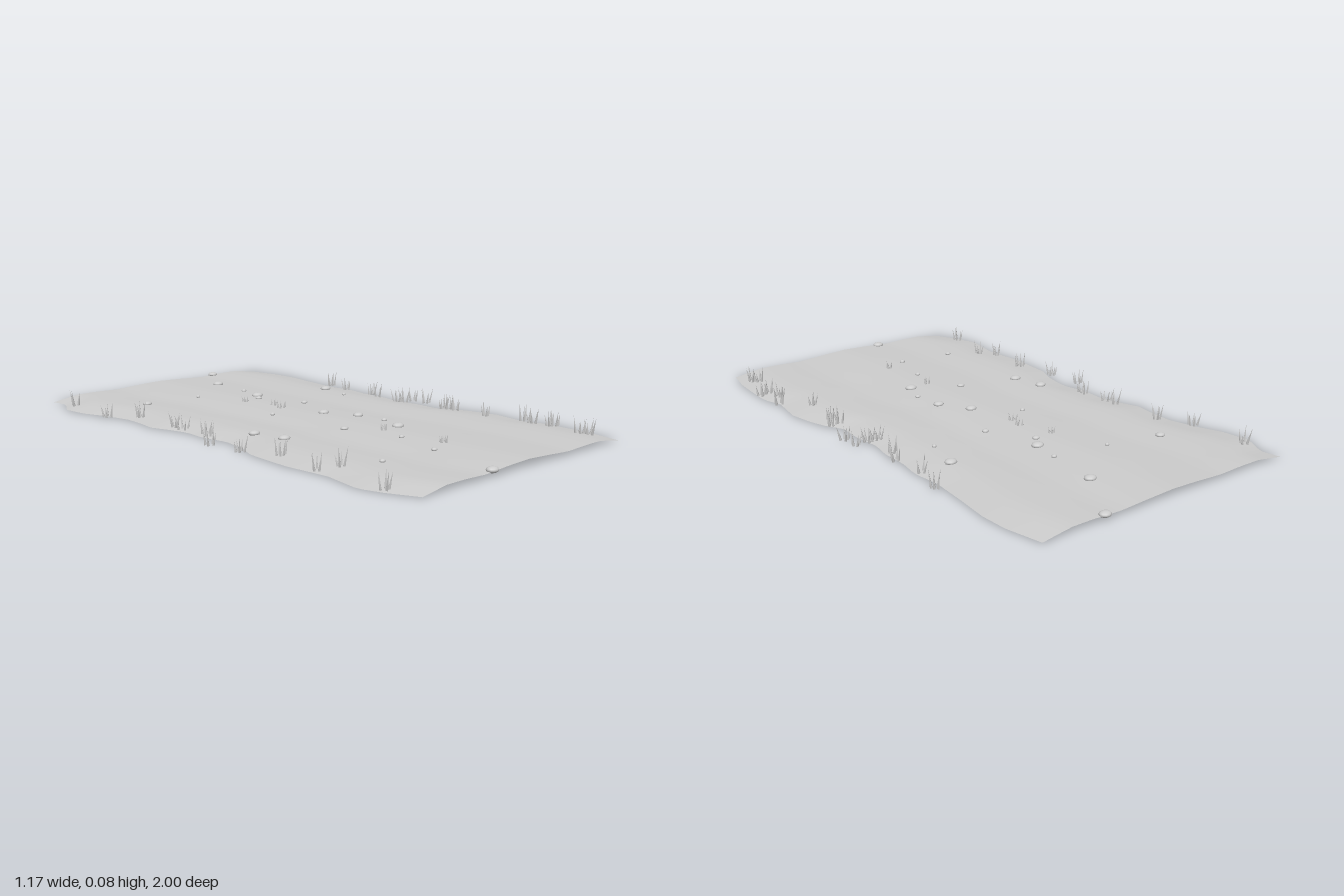
import * as THREE from 'three';

const grey = new THREE.MeshStandardMaterial({ color: 0xcccccc, side: THREE.DoubleSide });
grey.name = 'plain grey';

// Wavy borders as [z, x]
const RIGHT_EDGE = [[-0.99, -0.54], [-0.91, -0.53], [-0.82, -0.585], [-0.71, -0.575], [-0.61, -0.54],
  [-0.5, -0.515], [-0.41, -0.52], [-0.32, -0.535], [-0.24, -0.51], [-0.16, -0.49], [-0.05, -0.5],
  [0.05, -0.48], [0.16, -0.5], [0.25, -0.54], [0.34, -0.55], [0.45, -0.56], [0.63, -0.55],
  [0.79, -0.585], [0.88, -0.56], [0.985, -0.515]];
const LEFT_EDGE = [[-0.99, 0.545], [-0.85, 0.57], [-0.74, 0.57], [-0.61, 0.55], [-0.45, 0.53],
  [-0.34, 0.54], [-0.24, 0.52], [-0.13, 0.52], [-0.05, 0.5], [0.08, 0.51], [0.17, 0.5], [0.25, 0.54],
  [0.32, 0.56], [0.42, 0.575], [0.56, 0.55], [0.65, 0.575], [0.79, 0.565], [0.88, 0.555], [0.985, 0.53]];
// Height across the track, [distance from the middle, y]: crown, wheel rut, shoulder, verge
const PROFILE = [[0, 0.027], [0.2, 0.023], [0.42, 0.016], [0.62, 0.02], [0.78, 0.02], [0.9, 0.011], [1, 0.003]];

// Pebbles as [x, z, radius]
const PEBBLES = [[0.29, -0.985, 0.021], [0.14, -0.76, 0.022], [-0.335, -0.62, 0.018], [-0.11, -0.58, 0.008],
  [0.11, -0.55, 0.01], [0.085, -0.435, 0.023], [0.045, -0.38, 0.014], [0.41, -0.365, 0.022],
  [0.135, -0.205, 0.013], [0.37, -0.215, 0.008], [-0.115, -0.115, 0.009], [0.035, 0.01, 0.021],
  [-0.375, 0.08, 0.021], [0.1, 0.13, 0.02], [-0.35, 0.21, 0.022], [-0.105, 0.26, 0.015],
  [0.11, 0.255, 0.011], [0.07, 0.36, 0.023], [-0.055, 0.49, 0.01], [-0.34, 0.665, 0.011],
  [-0.11, 0.685, 0.011], [-0.175, 0.975, 0.022]];

// Grass tufts as [x, z]
const VERGE_TUFTS = [[-0.525, -0.84], [-0.54, -0.59], [-0.47, -0.475], [-0.475, -0.25], [-0.475, -0.2],
  [-0.465, -0.08], [-0.475, -0.055], [-0.55, 0.045], [-0.54, 0.195], [-0.495, 0.355], [-0.53, 0.56],
  [-0.465, 0.6], [-0.54, 0.86], [0.555, -0.475], [0.52, -0.345], [0.525, -0.2], [0.495, -0.14],
  [0.47, -0.005], [0.5, 0.005], [0.555, 0.005], [0.555, 0.075], [0.485, 0.23], [0.52, 0.23],
  [0.495, 0.28], [0.47, 0.445], [0.55, 0.57], [0.515, 0.63], [0.525, 0.7], [0.557, 0.7],
  [0.495, 0.85], [0.51, 0.88]];
const CROWN_TUFTS = [[-0.035, -0.37], [0.005, -0.235], [-0.01, -0.18], [-0.015, 0.37], [-0.01, 0.64]];

// Linear lookup in a sorted list of pairs
function lookup(list, t) {
  if (t <= list[0][0]) return list[0][1];
  for (let i = 1; i < list.length; i++) {
    const [a, va] = list[i - 1], [b, vb] = list[i];
    if (t <= b) return va + (vb - va) * (t - a) / (b - a);
  }
  return list[list.length - 1][1];
}

function groundHeight(u, z) {
  const a = Math.min(1, Math.abs(u));
  const bumps = 0.0015 * Math.sin(9 * z + 4 * u) * (1 - a);
  return lookup(PROFILE, a) + bumps;
}

function heightAt(x, z) {
  return groundHeight(x / (x < 0 ? -lookup(RIGHT_EDGE, z) : lookup(LEFT_EDGE, z)), z);
}

function seeded(seed) {
  return () => (seed = (seed * 16807) % 2147483647) / 2147483647;
}

// Ground sheet bent to the borders and the cross profile
function makeTrack() {
  const geo = new THREE.PlaneGeometry(2, 1.975, 28, 56).rotateX(-Math.PI / 2);
  const pos = geo.attributes.position;
  for (let i = 0; i < pos.count; i++) {
    const u = pos.getX(i), z = pos.getZ(i) - 0.0025;
    const x = u < 0 ? -u * lookup(RIGHT_EDGE, z) : u * lookup(LEFT_EDGE, z);
    pos.setXYZ(i, x, groundHeight(u, z), z);
  }
  geo.computeVertexNormals();
  const mesh = new THREE.Mesh(geo, grey);
  mesh.name = 'dirtTrack';
  return mesh;
}

export function createModel() {
  const model = new THREE.Group();
  model.name = 'countryTrack';
  const rand = seeded(4711);
  model.add(makeTrack());

  // Flattened pebbles half sunk in the ground
  const pebbles = new THREE.Group();
  pebbles.name = 'pebbles';
  const stone = new THREE.SphereGeometry(1, 12, 8);
  for (const [x, z, r] of PEBBLES) {
    const mesh = new THREE.Mesh(stone, grey);
    mesh.name = 'pebble';
    mesh.position.set(x, heightAt(x, z) + 0.003, z);
    mesh.scale.set(r * 1.05, Math.max(0.007, r * 0.5), r * 0.9);
    pebbles.add(mesh);
  }
  model.add(pebbles);

  // Tufts of thin blades leaning outwards
  const blade = new THREE.ConeGeometry(0.0055, 1, 4).translate(0, 0.5, 0);
  function addTufts(name, spots, low, high, spread) {
    const tufts = new THREE.Group();
    tufts.name = name;
    for (const [x, z] of spots) {
      const tuft = new THREE.Group();
      tuft.name = 'tuft';
      tuft.position.set(x, heightAt(x, z), z);
      const count = 4 + Math.floor(rand() * 2), turn = rand() * 6.28;
      for (let i = 0; i < count; i++) {
        const angle = turn + (i / count) * Math.PI * 2;
        const reach = spread * (0.4 + 0.6 * rand());
        const lean = 0.1 + 0.2 * rand();
        const mesh = new THREE.Mesh(blade, grey);
        mesh.name = 'blade';
        mesh.position.set(Math.cos(angle) * reach, 0, Math.sin(angle) * reach);
        mesh.rotation.set(Math.sin(angle) * lean, 0, -Math.cos(angle) * lean);
        mesh.scale.y = low + (high - low) * rand();
        tuft.add(mesh);
      }
      tufts.add(tuft);
    }
    model.add(tufts);
  }
  addTufts('vergeGrass', VERGE_TUFTS, 0.04, 0.068, 0.018);
  addTufts('crownGrass', CROWN_TUFTS, 0.018, 0.03, 0.014);

  return model;
}
